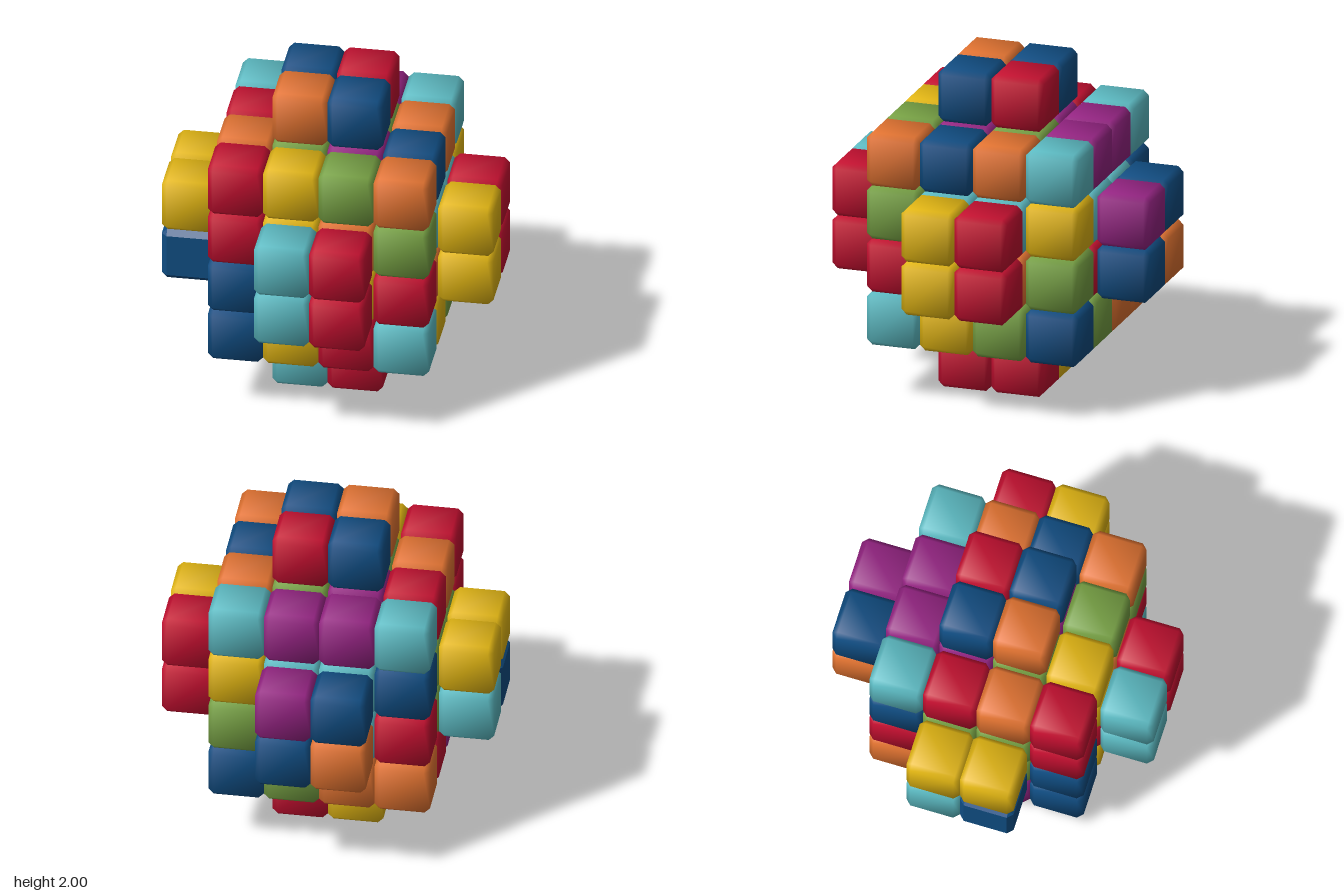
import * as THREE from 'three';
import { ConvexGeometry } from 'three/addons/geometries/ConvexGeometry.js';

const CELL = 1 / 3;
const HALF = CELL / 2;
const BEVEL = 0.033;

// Layers from bottom to top; rows run back to front, letters run from -x to +x
const LAYERS = [
  ['......', '......', '..yr..', '..cr..', '......', '......'],
  ['......', '.oogb.', '.rrrg.', '.prry.', '.byrc.', '......'],
  ['..ob..', '.rcrg.', 'cg..or', 'Bg..oy', '.bryr.', '..cr..'],
  ['..bp..', '.bccy.', 'yg..cr', 'yg..cy', '.ryog.', '..cr..'],
  ['......', '.cppc.', '.rpgo.', '.ogpb.', '.rygo.', '......'],
  ['......', '......', '..br..', '..ob..', '......', '......'],
];

const COLORS = {
  r: ['red', 0xc20e2f],
  b: ['blue', 0x0f4c81],
  y: ['yellow', 0xe1b512],
  o: ['orange', 0xe07230],
  g: ['green', 0x76a043],
  c: ['cyan', 0x5bb9c1],
  p: ['purple', 0x942382],
};

// Cube with bevelled edges and corners; smooth fans the normals out over each face
function bevelledCube(smooth) {
  const inner = HALF - BEVEL;
  const points = [];
  for (const x of [-1, 1]) for (const y of [-1, 1]) for (const z of [-1, 1]) {
    points.push(
      new THREE.Vector3(x * HALF, y * inner, z * inner),
      new THREE.Vector3(x * inner, y * HALF, z * inner),
      new THREE.Vector3(x * inner, y * inner, z * HALF),
    );
  }
  const geometry = new ConvexGeometry(points);
  if (smooth) {
    const position = geometry.attributes.position;
    const n = new THREE.Vector3();
    const lean = (v) => Math.sign(v) * (Math.abs(v) > HALF - BEVEL / 2 ? 1 : 0.43);
    for (let i = 0; i < position.count; i++) {
      n.set(lean(position.getX(i)), lean(position.getY(i)), lean(position.getZ(i))).normalize();
      geometry.attributes.normal.setXYZ(i, n.x, n.y, n.z);
    }
  }
  return geometry;
}

export function createModel() {
  const model = new THREE.Group();
  model.name = 'cubeCluster';

  const materials = {};
  for (const [key, [name, color]] of Object.entries(COLORS)) {
    materials[key] = new THREE.MeshStandardMaterial({ color });
    materials[key].name = name;
  }
  const smoothCube = bevelledCube(true);
  const flatCube = bevelledCube(false);

  // One cube per letter; a capital marks the sharp-edged cube
  LAYERS.forEach((rows, j) => {
    const layer = new THREE.Group();
    layer.name = `layer${j + 1}`;
    rows.forEach((row, k) => {
      [...row].forEach((letter, i) => {
        if (letter === '.') return;
        const key = letter.toLowerCase();
        const cube = new THREE.Mesh(letter === key ? smoothCube : flatCube, materials[key]);
        cube.name = `${COLORS[key][0]}Cube`;
        cube.position.set((i - 2.5) * CELL, (j + 0.5) * CELL, (k - 2.5) * CELL);
        layer.add(cube);
      });
    });
    model.add(layer);
  });
  return model;
}
